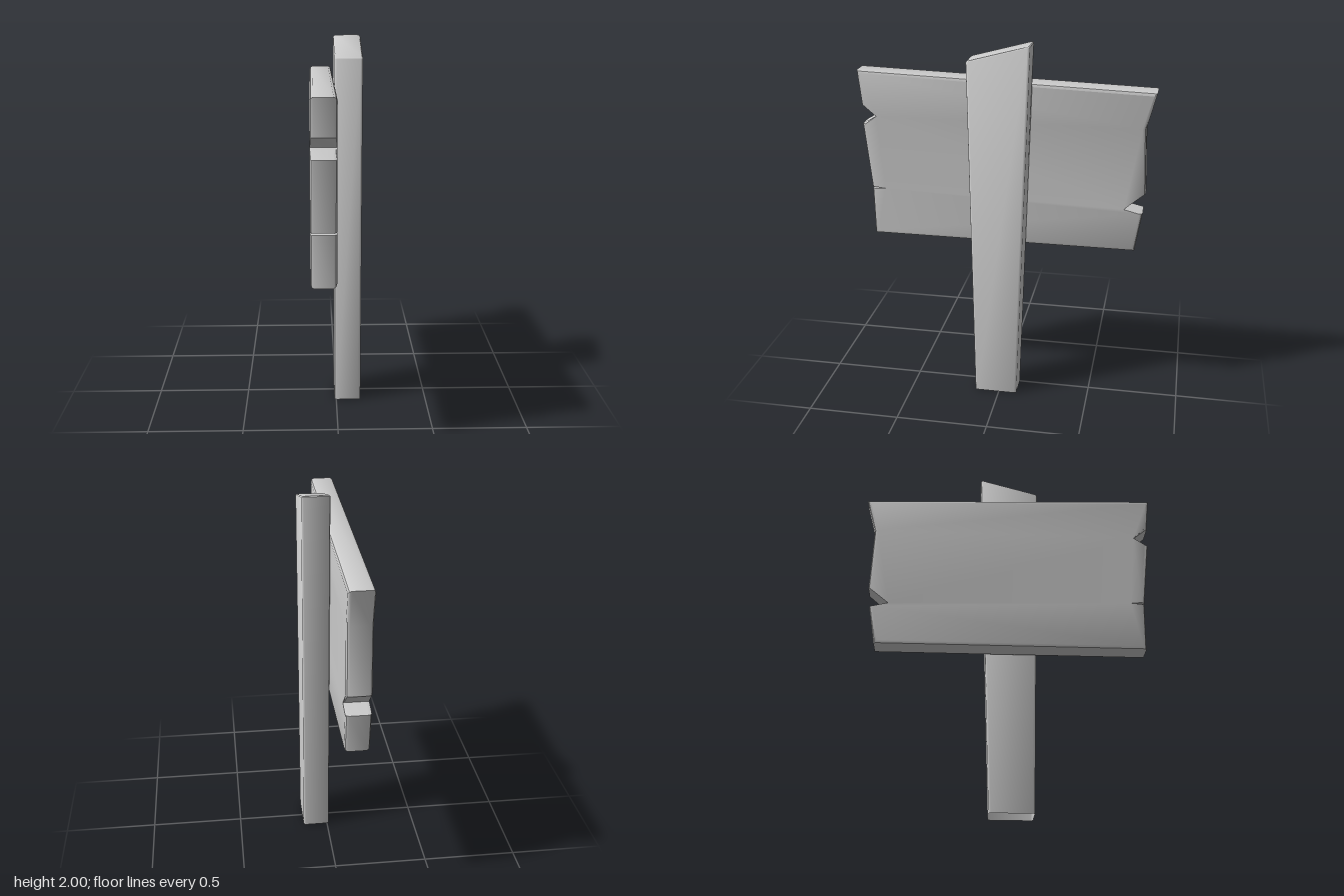
import * as THREE from 'three';
import { toCreasedNormals } from 'three/addons/utils/BufferGeometryUtils.js';

// Skins matching closed loops of Vector3 (counter-clockwise seen from the last loop).
// flat(p) gives the 2D position of a point for filling the end caps.
function loft(loops, flat, capStart, crease) {
  const n = loops[0].length;
  const index = [];
  for (let i = 0; i < loops.length - 1; i++) {
    for (let j = 0; j < n; j++) {
      const k = (j + 1) % n;
      const a = i * n + j, b = i * n + k, c = b + n, d = a + n;
      index.push(a, b, c, a, c, d);
    }
  }
  const cap = (loop, offset, flip) => {
    for (const [a, b, c] of THREE.ShapeUtils.triangulateShape(loop.map(flat), [])) {
      index.push(offset + a, offset + (flip ? c : b), offset + (flip ? b : c));
    }
  };
  if (capStart) cap(loops[0], 0, true);
  cap(loops[loops.length - 1], (loops.length - 1) * n, false);
  const geometry = new THREE.BufferGeometry().setFromPoints(loops.flat());
  geometry.setIndex(index);
  return toCreasedNormals(geometry, crease);
}

// Rectangle in x and z with rounded corners; y follows a rule of z
function postLoop(x0, x1, z0, z1, r, height) {
  const corners = [[x1 - r, z1 - r, 0], [x1 - r, z0 + r, 1], [x0 + r, z0 + r, 2], [x0 + r, z1 - r, 3]];
  const loop = [];
  for (const [x, z, quarter] of corners) {
    for (let s = 0; s <= 2; s++) {
      const t = (quarter + s / 2) * Math.PI / 2;
      const pz = z + r * Math.cos(t), px = x + r * Math.sin(t);
      loop.push(new THREE.Vector3(px, height(pz), pz));
    }
  }
  return loop;
}

// Tapered post with a slanted top and an open foot
function buildPost() {
  const slant = z => 1.91 + (0.17 - z) * 0.09 / 0.33;
  const loops = [
    postLoop(-0.01, 0.135, -0.1, 0.137, 0.012, () => 0),
    postLoop(-0.01, 0.135, -0.16, 0.17, 0.012, z => slant(z) - 0.006),
    postLoop(-0.005, 0.13, -0.155, 0.165, 0.01, slant),
  ];
  return loft(loops, p => new THREE.Vector2(p.z, p.x), false, 0.85);
}

// Weathered board: z, y, then how far the rounded edge draws in along z and y
const OUTLINE = [
  [0.8, 1.805, -1, -1], [0.78, 1.615, -1, 0], [0.7, 1.555, 0, 0], [0.78, 1.51, -1, 0],
  [0.742, 1.149, -1, 0], [0.665, 1.144, 0, 0], [0.741, 1.139, -1, 0], [0.737, 0.87, -1, 1],
  [-0.72, 0.87, 1, 1], [-0.755, 1.09, 1, 0], [-0.655, 1.11, 0, 0], [-0.765, 1.2, 1, 0],
  [-0.75, 1.56, 1, 0], [-0.8, 1.755, 1, -1],
];

function buildBoard() {
  const steps = [[-0.14, 0.018], [-0.134, 0.005], [-0.122, 0], [-0.028, 0], [-0.016, 0.005], [-0.01, 0.018]];
  const loops = steps.map(([x, inset]) => OUTLINE.map(([z, y, dz, dy]) =>
    new THREE.Vector3(x, y + dy * inset, z + dz * inset)));
  return loft(loops, p => new THREE.Vector2(p.y, p.z), true, 0.65);
}

export function createModel() {
  const sign = new THREE.Group();
  sign.name = 'woodenSign';
  const material = new THREE.MeshStandardMaterial({ color: 0xcccccc, side: THREE.DoubleSide });
  for (const [name, geometry] of [['post', buildPost()], ['board', buildBoard()]]) {
    const mesh = new THREE.Mesh(geometry, material);
    mesh.name = name;
    sign.add(mesh);
  }
  return sign;
}
